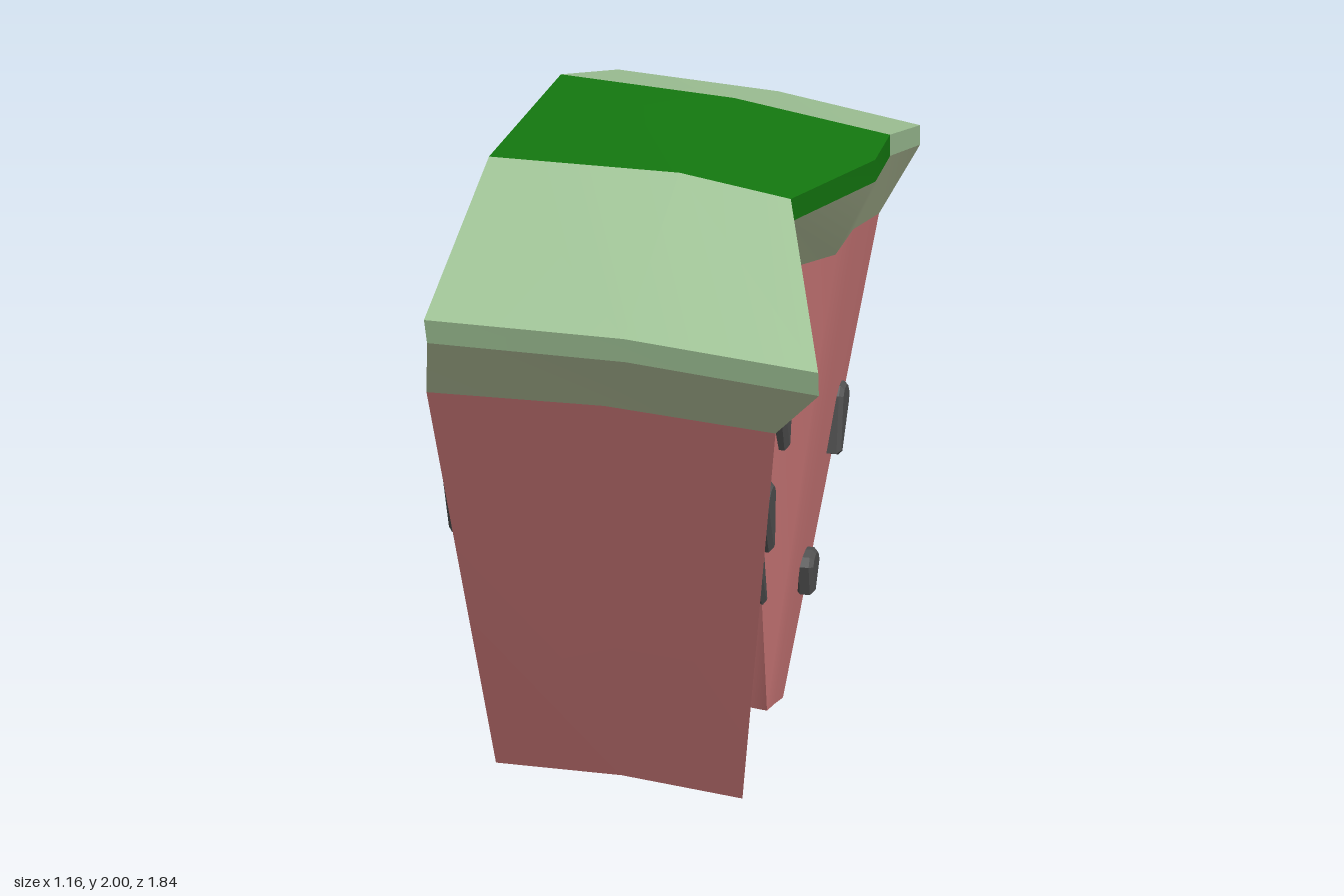
import * as THREE from 'three';
import { toCreasedNormals } from 'three/addons/utils/BufferGeometryUtils.js';

const v = (x, y, z) => new THREE.Vector3(x, y, z);
const material = (color) => new THREE.MeshStandardMaterial({ color });

// Smooth sheet over rows of points: rows run down, columns run right, seen from outside.
function sheet(name, mat, ...patches) {
  const pos = [];
  for (const rows of patches) {
    for (let i = 0; i < rows.length - 1; i++) {
      for (let j = 0; j < rows[i].length - 1; j++) {
        const a = rows[i][j], b = rows[i][j + 1], c = rows[i + 1][j + 1], d = rows[i + 1][j];
        for (const p of [a, d, c, a, c, b]) pos.push(p.x, p.y, p.z);
      }
    }
  }
  const geo = new THREE.BufferGeometry();
  geo.setAttribute('position', new THREE.Float32BufferAttribute(pos, 3));
  const mesh = new THREE.Mesh(toCreasedNormals(geo, 1.0), mat);
  mesh.name = name;
  return mesh;
}

// One height level: five points from front to back on the -x side and on the grooved +x side,
// plus a slightly bulged middle row.
function level(minus, plus) {
  const m = minus.map((p) => v(...p)), p = plus.map((q) => v(...q));
  const midX = (m[0].x + p[0].x) / 2 + 0.01;
  const mid = m.map((a, i) => {
    const c = a.clone().lerp(p[i], 0.5);
    return v(midX, c.y + 0.018, c.z);
  });
  return { minus: m, mid, plus: p };
}

// Closed walk around a level: front, +x side, back, -x side.
function ring({ minus: m, mid, plus: p }) {
  return [m[0], mid[0], ...p, mid[4], m[4], m[3], m[2], m[1], m[0]];
}

const across = (l, i) => [l.minus[i], l.mid[i], l.plus[i]];

// Teardrop seed with a rounded upper end and a narrow blunt tip.
function seedGeometry(length, width) {
  const r = width / 2, top = length / 2 - r * 0.8;
  const pts = [new THREE.Vector2(-r * 0.3, -length / 2), new THREE.Vector2(r * 0.3, -length / 2)];
  for (let i = 0; i <= 5; i++) {
    const a = (i / 5) * Math.PI;
    pts.push(new THREE.Vector2(r * Math.cos(a), top + r * 0.8 * Math.sin(a)));
  }
  const geo = new THREE.ExtrudeGeometry(new THREE.Shape(pts), {
    depth: 0.03, bevelEnabled: true, bevelSegments: 1,
    bevelThickness: 0.012, bevelSize: 0.012, bevelOffset: -0.012,
  });
  geo.translate(0, 0, -0.015);
  return geo;
}

export function createModel() {
  const model = new THREE.Group();
  model.name = 'melonSlice';

  const pale = material(0x9cbf93), green = material(0x13750f);
  const inner = material(0xc3d1a8), red = material(0xd07a7a), dark = material(0x505050);

  const top = level(
    [[-0.34, 1.63, 0.92], [-0.36, 1.9, 0.37], [-0.36, 1.95, 0.06], [-0.36, 2, -0.25], [-0.37, 1.91, -0.86]],
    [[0.57, 1.54, 0.81], [0.4, 1.825, 0.32], [0.55, 1.86, -0.02], [0.55, 1.88, -0.25], [0.55, 1.8, -0.8]]);
  const rim = {};
  for (const k in top) rim[k] = top[k].map((p) => p.clone().add(v(0, -0.06, -0.015)));
  const fleshTop = level(
    [[-0.395, 1.405, 0.775], [-0.41, 1.62, 0.31], [-0.415, 1.66, 0.03], [-0.42, 1.7, -0.25], [-0.41, 1.62, -0.92]],
    [[0.44, 1.33, 0.65], [0.26, 1.57, 0.175], [0.43, 1.57, -0.15], [0.45, 1.605, -0.3], [0.43, 1.52, -0.855]]);
  const bottom = level(
    [[-0.48, 0.065, 0.095], [-0.5, 0.26, -0.2], [-0.5, 0.24, -0.29], [-0.5, 0.22, -0.4], [-0.49, 0.175, -0.555]],
    [[0.23, 0, 0.01], [0.1, 0.19, -0.21], [0.24, 0.15, -0.265], [0.24, 0.12, -0.38], [0.24, 0.085, -0.5]]);

  // Outer rind: pale front stripe, green middle stripe, pale back stripe
  const T = ring(top), R = ring(rim);
  const band = (ids) => [ids.map((i) => T[i]), ids.map((i) => R[i])];
  const lid = (...ids) => ids.map((i) => across(top, i));
  model.add(
    sheet('frontRindStripe', pale, lid(1, 0), band([11, 0, 1, 2, 3])),
    sheet('greenRindStripe', green, lid(3, 2, 1), band([3, 4, 5]), band([9, 10, 11])),
    sheet('backRindStripe', pale, lid(4, 3), band([5, 6, 7, 8, 9])));

  // Inner rind tapering into the flesh
  model.add(sheet('innerRind', inner, [R, ring(fleshTop)]));

  // Flesh wedge with its notched underside
  model.add(sheet('flesh', red,
    [ring(fleshTop), ring(bottom)],
    [0, 1, 2, 3, 4].map((i) => across(bottom, i))));

  // Seeds: x, y, z, length, width, spin in the face, outward lean of the tip
  const seeds = [
    [0.345, 0.99, 0.33, 0.2, 0.11, 0.25, 0],
    [0.3, 1.11, -0.085, 0.16, 0.1, 0.15, 0],
    [0.36, 0.96, -0.61, 0.22, 0.13, -0.35, 0],
    [0.23, 0.66, -0.13, 0.25, 0.14, 0.3, 0],
    [0.315, 0.53, -0.45, 0.14, 0.12, -0.15, 0],
    [-0.475, 0.98, -0.63, 0.2, 0.1, 0.25, 0],
    [-0.485, 1.06, -0.11, 0.25, 0.12, 0, 0],
    [-0.495, 0.67, -0.1, 0.24, 0.12, 0, 0],
    [-0.48, 0.98, 0.34, 0.21, 0.11, 0, 0],
    [-0.525, 0.54, -0.42, 0.24, 0.12, 0.5, 0.35],
  ];
  for (const [x, y, z, length, width, spin, lean] of seeds) {
    const seed = new THREE.Mesh(seedGeometry(length, width), dark);
    seed.name = 'seed';
    seed.position.set(x, y, z);
    seed.rotation.set(-lean, Math.sign(x) * Math.PI / 2, spin, 'YZX');
    model.add(seed);
  }
  return model;
}
